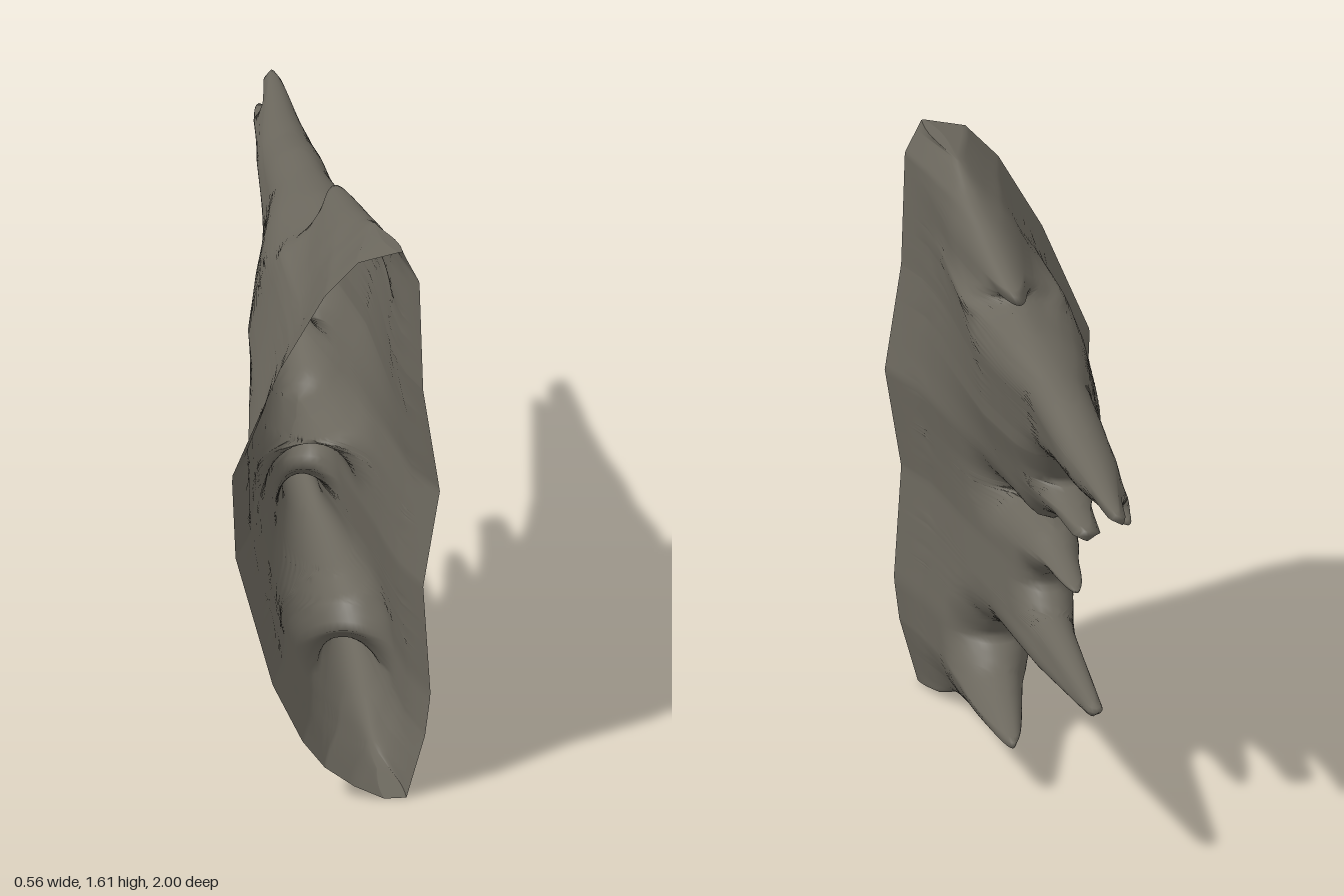
import * as THREE from 'three';

const { lerp, smoothstep, clamp } = THREE.MathUtils;

// Piecewise-linear lookup in a list of [key, value] pairs with rising keys
function lookup(table, k) {
  if (k <= table[0][0]) return table[0][1];
  for (let i = 1; i < table.length; i++) {
    const [k0, v0] = table[i - 1], [k1, v1] = table[i];
    if (k <= k1) return v0 + (v1 - v0) * (k - k0) / (k1 - k0 || 1);
  }
  return table[table.length - 1][1];
}

// Side silhouette [z, y], from the top rim down over each spike
const silhouette = [
  [1, 1.61], [0.75, 1.585], [0.63, 1.54], [0.4, 1.48], [0.15, 1.42], [0.15, 1.395],
  [0.26, 1.375], [0.19, 1.362], [0.05, 1.352], [-0.18, 1.32], [-0.34, 1.305], [-0.5, 1.275],
  [-0.7, 1.255], [-1, 1.23], [-0.99, 1.2], [-0.82, 1.19], [-0.92, 1.17], [-0.6, 1.13],
  [-0.32, 1.1], [-0.12, 1.05], [-0.04, 0.955], [-0.15, 0.93], [-0.31, 0.915], [-0.3, 0.885],
  [-0.1, 0.872], [0.07, 0.825], [0.13, 0.785], [0.25, 0.783], [0.39, 0.772], [0.25, 0.762],
  [0.13, 0.76], [0.05, 0.74], [-0.2, 0.705], [-0.2, 0.697], [0.02, 0.675], [0.14, 0.62],
  [0.15, 0.585], [0.07, 0.535], [-0.2, 0.515], [-0.5, 0.495], [-0.53, 0.48], [-0.5, 0.46],
  [0, 0.4], [0.38, 0.385], [0.5, 0.35], [0.55, 0.29], [0.46, 0.23], [0.37, 0.205],
  [0.11, 0.155], [0.11, 0.14], [0.54, 0.09], [0.77, 0.05], [0.85, 0.02], [1, 0],
];

// Rim outline: [y, x] on each side
const rimRight = [[0, 0.19], [0.18, 0.24], [0.3, 0.255], [0.62, 0.235], [0.9, 0.28],
  [1.2, 0.235], [1.52, 0.225], [1.61, 0.18]];
const rimLeft = [[0, 0.13], [0.04, 0.05], [0.1, -0.03], [0.18, -0.09], [0.35, -0.17], [0.73, -0.27],
  [0.97, -0.28], [1.28, -0.15], [1.49, -0.03], [1.585, 0.06], [1.61, 0.17]];

// Sideways position by height, of the body's spine and of the great spike's forked tip
const spineX = [[0, 0.16], [0.15, 0.12], [0.3, 0.06], [0.48, 0.01], [0.9, -0.01], [1.1, 0.01],
  [1.3, 0.05], [1.42, 0.1], [1.61, 0.175]];
const forkX = [[1.16, 0], [1.19, 0.015], [1.205, 0.045], [1.25, 0.05]];

// Half thickness by depth: great spike, middle spikes, top and bottom spikes
const thick = [[-1, 0.022], [-0.55, 0.07], [-0.15, 0.085], [0.25, 0.165], [0.65, 0.2], [0.85, 0.22], [1, 0.28]];
const thin = [[-0.5, 0.022], [0, 0.05], [0.3, 0.105], [0.6, 0.175], [0.85, 0.22], [1, 0.28]];
const outer = [[0.1, 0.025], [0.3, 0.075], [0.6, 0.165], [0.85, 0.22], [1, 0.28]];
const thickShare = [[0.8, 0], [1.05, 1], [1.33, 1], [1.4, 0]];
const outerShare = [[0.2, 1], [0.32, 0], [1.34, 0], [1.41, 1]];

// Shortest distance from a point to the silhouette
function edgeDistance(z, y) {
  let best = Infinity;
  for (let i = 1; i < silhouette.length; i++) {
    const [z0, y0] = silhouette[i - 1], [z1, y1] = silhouette[i];
    const dz = z1 - z0, dy = y1 - y0;
    const t = clamp(((z - z0) * dz + (y - y0) * dy) / (dz * dz + dy * dy), 0, 1);
    best = Math.min(best, Math.hypot(z - z0 - dz * t, y - y0 - dy * t));
  }
  return best;
}

// Half width of the shell, rounded over toward the silhouette and flared to the rim
function halfWidth(z, y, rim) {
  const middle = lerp(lookup(thin, z), lookup(thick, z), lookup(thickShare, y));
  const full = lerp(middle, lookup(outer, z), lookup(outerShare, y));
  const scaled = full * lerp(1, rim / 0.28, clamp(z / 0.7, 0, 1));
  const inset = 1 - Math.min(1, edgeDistance(z, y) / Math.min(full, 0.14));
  const round = Math.sqrt(1 - inset * inset);
  return scaled * lerp(round, 1, smoothstep(z, 0.75, 1));
}

// Middle line of the shell: fork tips, then spine, then the middle of the rim
function centreLine(z, y, mid) {
  const tip = y > 1.1 && y < 1.3 ? lookup(forkX, y) : lookup(spineX, y);
  const spine = lerp(tip, lookup(spineX, y), smoothstep(z, -0.95, -0.6));
  return lerp(spine, mid, smoothstep(z, -0.4, 1));
}

function shellGeometry() {
  // Subdivide the silhouette evenly
  const rows = [];
  silhouette.forEach(([z, y], i) => {
    if (i > 0) {
      const [z0, y0] = silhouette[i - 1];
      const n = Math.ceil(Math.hypot(z - z0, y - y0) / 0.03);
      for (let k = 1; k < n; k++) rows.push([z0 + (z - z0) * k / n, y0 + (y - y0) * k / n]);
    }
    rows.push([z, y]);
  });

  // Each row runs from the left rim around the spike edge to the right rim
  const half = 28, cols = 2 * half + 1;
  const positions = [], index = [];
  rows.forEach(([edge, y], i) => {
    const left = lookup(rimLeft, y), right = lookup(rimRight, y);
    const mid = (left + right) / 2, rim = (right - left) / 2;
    for (let j = 0; j < cols; j++) {
      const side = Math.sign(j - half);
      const z = edge + (1 - edge) * Math.pow(Math.abs(j - half) / half, 1.6);
      positions.push(centreLine(z, y, mid) + side * halfWidth(z, y, rim), y, z);
      if (i < rows.length - 1 && j < cols - 1) {
        const a = i * cols + j, b = a + cols;
        index.push(a, a + 1, b, a + 1, b + 1, b);
      }
    }
  });

  const geometry = new THREE.BufferGeometry();
  geometry.setAttribute('position', new THREE.Float32BufferAttribute(positions, 3));
  geometry.setIndex(index);
  geometry.computeVertexNormals();
  return geometry;
}

export function createModel() {
  const group = new THREE.Group();
  group.name = 'spikedRock';
  const stone = new THREE.MeshStandardMaterial({ color: 0x6b675d, side: THREE.DoubleSide });
  stone.name = 'darkStone';

  // Hollow shell, open at the front, drawn out into spikes at the back
  const shell = new THREE.Mesh(shellGeometry(), stone);
  shell.name = 'rockShell';
  group.add(shell);
  return group;
}
